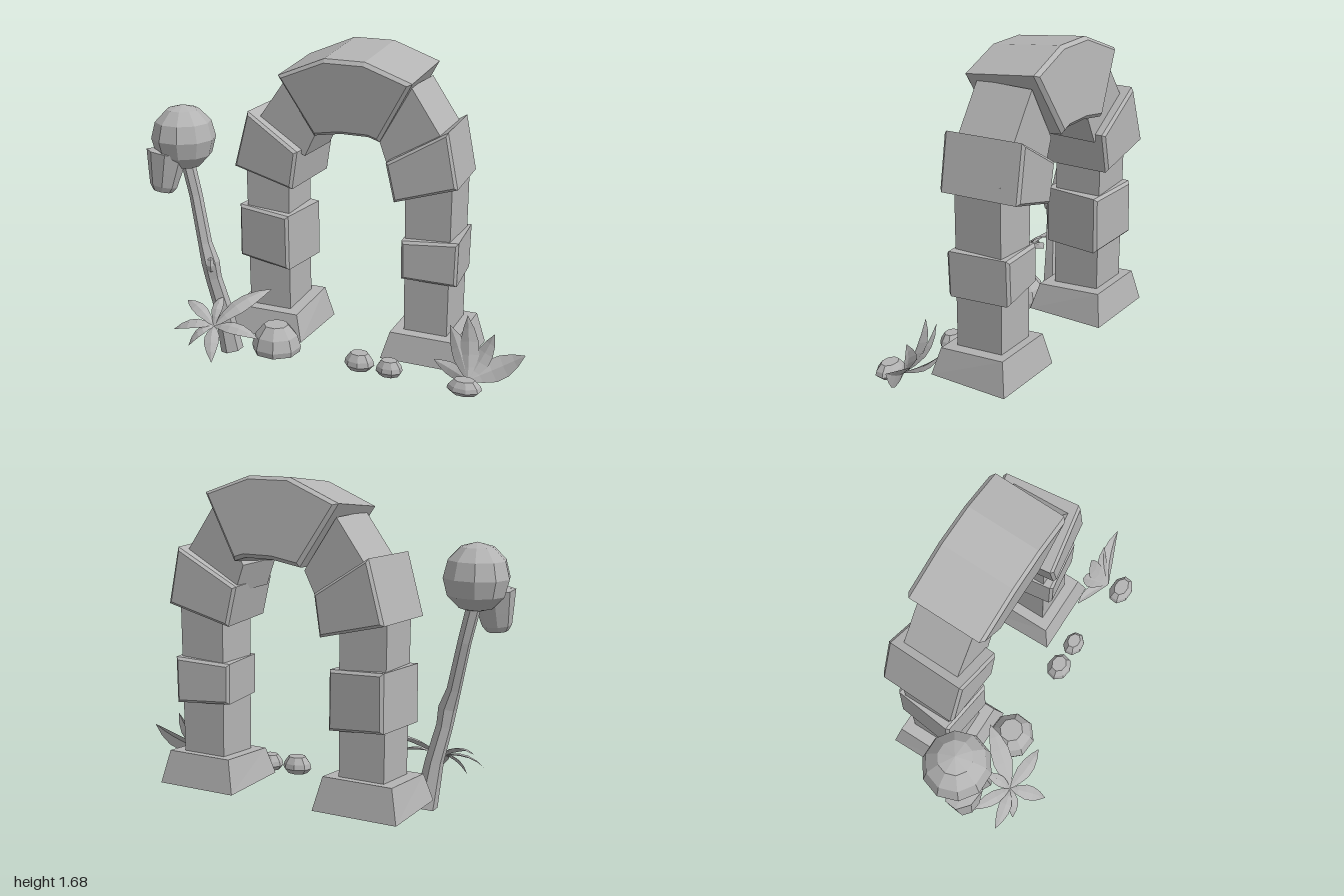
import * as THREE from 'three';

const stone = new THREE.MeshStandardMaterial({ color: 0xb4b4b4, flatShading: true });
stone.name = 'grey';
const leafMat = stone.clone();
leafMat.name = 'grey two sided';
leafMat.side = THREE.DoubleSide;

const V = (a) => new THREE.Vector3(...a);

export function createModel() {
  const root = new THREE.Group();
  const add = (name, geo, mat = stone) => {
    const m = new THREE.Mesh(geo, mat);
    m.name = name;
    root.add(m);
    return m;
  };

  // Chamfered stone: front outline (counter-clockwise), pivoting on its front face
  const block = (name, pts, zFront, depth, rx = 0, ry = 0, bevel = 0.014) => {
    const cx = pts.reduce((s, p) => s + p[0], 0) / pts.length;
    const cy = pts.reduce((s, p) => s + p[1], 0) / pts.length;
    const shape = new THREE.Shape(pts.map(([x, y]) => new THREE.Vector2(x - cx, y - cy)));
    const geo = new THREE.ExtrudeGeometry(shape, {
      depth: depth - 2 * bevel, bevelEnabled: bevel > 0, bevelSegments: 1,
      bevelSize: bevel, bevelThickness: bevel, bevelOffset: -bevel,
    });
    geo.translate(0, 0, bevel - depth);
    const m = add(name, geo);
    m.position.set(cx, cy, zFront);
    m.rotation.set(rx, ry, 0);
  };

  // Arch: columns, collar stones, shoulders, inset wedges and keystone
  block('leftColumn', [[0.315, 0.2], [0.55, 0.2], [0.56, 1.1], [0.31, 1.1]], -0.09, 0.26, 0, 0, 0);
  block('rightColumn', [[-0.585, 0.2], [-0.345, 0.2], [-0.345, 1.1], [-0.595, 1.1]], -0.09, 0.26, 0, 0, 0);
  block('leftCollar', [[0.31, 0.52], [0.6, 0.505], [0.607, 0.74], [0.31, 0.725]], -0.055, 0.33, 0.02, 0.12);
  block('rightCollar', [[-0.64, 0.495], [-0.33, 0.465], [-0.33, 0.765], [-0.635, 0.785]], -0.055, 0.33, 0.02, -0.12);
  block('leftShoulder', [[0.28, 0.935], [0.605, 1.03], [0.55, 1.315], [0.235, 1.135]], -0.015, 0.42, 0, 0.1);
  block('rightShoulder', [[-0.635, 1.01], [-0.295, 0.925], [-0.26, 1.13], [-0.545, 1.315]], -0.015, 0.42, 0.03, -0.04);
  block('leftWedge', [[0.22, 1.1], [0.52, 1.25], [0.34, 1.515], [0.17, 1.24]], -0.07, 0.305, 0, 0, 0);
  block('rightWedge', [[-0.52, 1.25], [-0.24, 1.1], [-0.17, 1.24], [-0.34, 1.5]], -0.07, 0.305, 0, 0, 0);
  block('keystone', [[-0.18, 1.215], [-0.03, 1.24], [0.12, 1.24], [0.18, 1.22],
    [0.365, 1.54], [0.12, 1.63], [-0.1, 1.63], [-0.365, 1.52]], -0.02, 0.415, 0.12, 0, 0.018);

  // Flared footings with a slightly sloping top
  const footing = (name, x0, x1) => {
    const geo = new THREE.BoxGeometry(x1 - x0, 0.15, 0.43);
    const p = geo.attributes.position;
    for (let i = 0; i < p.count; i++) {
      if (p.getY(i) < 0) continue;
      const back = p.getZ(i) < 0;
      p.setXYZ(i, p.getX(i) * 0.82, back ? 0.095 : 0.065, p.getZ(i) * 0.84);
    }
    geo.computeVertexNormals();
    add(name, geo).position.set((x0 + x1) / 2, 0.155, -0.215);
  };
  footing('leftFooting', 0.22, 0.65);
  footing('rightFooting', -0.69, -0.24);

  // Faceted rocks
  const rockProfile = [[0, 0], [0.72, 0], [1, 0.3], [0.92, 0.6], [0.6, 1], [0, 1]];
  const bigProfile = [[0, 0], [0.95, 0], [1, 0.2], [0.86, 0.62], [0.5, 1], [0, 1]];
  const lathe = (name, profile, sides, pos, scale, spin = 0) => {
    const geo = new THREE.LatheGeometry(profile.map((q) => new THREE.Vector2(...q)), sides, spin);
    const m = add(name, geo);
    m.position.set(...pos);
    m.scale.set(...scale);
    return m;
  };
  lathe('largeRock', bigProfile, 8, [-0.33, 0.065, 0.108], [0.132, 0.15, 0.125], 0.3);
  lathe('smallRock1', rockProfile, 8, [0.155, 0.06, 0.12], [0.08, 0.088, 0.066], 0.2);
  lathe('smallRock2', rockProfile, 8, [0.32, 0.055, 0.118], [0.072, 0.082, 0.056], 0.5);
  lathe('smallRock3', rockProfile, 8, [0.745, 0.068, 0.18], [0.09, 0.072, 0.062], 0.3);

  // Tree trunk: hexagonal rings along a bent path, capped at the ends
  const rings = [
    [-0.61, 0.01, 0.09, 0.06], [-0.645, 0.25, 0.11, 0.047], [-0.685, 0.43, 0.135, 0.042],
    [-0.695, 0.52, 0.145, 0.047], [-0.73, 0.62, 0.135, 0.036], [-0.79, 0.87, 0.11, 0.034],
    [-0.84, 1.08, 0.11, 0.036],
  ];
  const trunk = new THREE.CylinderGeometry(1, 1, rings.length - 1, 6, rings.length - 1);
  const tp = trunk.attributes.position;
  for (let i = 0; i < tp.count; i++) {
    const [x, y, z, r] = rings[Math.round(tp.getY(i) + (rings.length - 1) / 2)];
    const dx = tp.getX(i) * r;
    tp.setXYZ(i, x + dx, y + dx * 0.22, z + tp.getZ(i) * r);
  }
  trunk.computeVertexNormals();
  add('trunk', trunk);
  const knot = add('trunkKnot', new THREE.SphereGeometry(1, 6, 4));
  knot.position.set(-0.68, 0.515, 0.165);
  knot.scale.set(0.025, 0.045, 0.032);

  // Crown with a drooping lobe at its front
  const crown = add('crown', new THREE.SphereGeometry(1, 10, 6));
  crown.position.set(-0.832, 1.188, 0.14);
  crown.scale.set(0.168, 0.172, 0.165);
  const lobe = lathe('crownLobe', [[0, 0], [0.6, 0.02], [0.82, 0.16], [1, 0.5], [1.25, 1], [0, 1.1]],
    8, [-0.91, 0.91, 0.24], [0.092, 0.21, 0.066], 0.3);
  lobe.rotation.set(-0.12, 0, -0.1);

  // Leaf: bent blade with a raised midrib, swept from root to tip
  const leaf = (name, root3, tip3, normal, width, lift) => {
    const a = V(root3), c = V(tip3), n = V(normal).normalize();
    const mid = a.clone().lerp(c, 0.5).addScaledVector(n, lift);
    const curve = new THREE.QuadraticBezierCurve3(a, mid, c);
    const side = c.clone().sub(a).cross(n).normalize();
    const widths = [0.15, 0.65, 1, 0.95, 0.6, 0.02];
    const pos = [], idx = [];
    widths.forEach((w, i) => {
      const p = curve.getPoint(i / (widths.length - 1));
      for (const s of [-1, 0, 1]) {
        const q = p.clone().addScaledVector(side, s * w * width / 2);
        if (s) q.addScaledVector(n, -w * width * 0.15);
        pos.push(q.x, q.y, q.z);
      }
      if (!i) return;
      for (const k of [0, 1]) {
        const u = (i - 1) * 3 + k, v = u + 3;
        idx.push(u, u + 1, v, u + 1, v + 1, v);
      }
    });
    const geo = new THREE.BufferGeometry();
    geo.setAttribute('position', new THREE.Float32BufferAttribute(pos, 3));
    geo.setIndex(idx);
    geo.computeVertexNormals();
    add(name, geo, leafMat);
  };

  // Spreading plant by the tree
  [[-0.4, 0.37, 0.02, 0.11], [-0.34, 0.2, 0.29, 0.08], [-0.53, 0.1, 0.45, 0.08],
    [-0.72, 0.12, 0.36, 0.06], [-0.83, 0.18, 0.32, 0.07], [-0.83, 0.29, 0.17, 0.07],
    [-0.63, 0.33, 0.13, 0.06]].forEach(([x, y, z, w], i) =>
    leaf('spreadLeaf' + i, [-0.61, 0.22, 0.275], [x, y, z], [0, 1, 0.4], w, 0.08));

  // Upright fan plant on the other side
  [[0.525, 0.14, 0.02, 0.07], [0.6, 0.335, 0.0, 0.09], [0.69, 0.4, -0.005, 0.1],
    [0.835, 0.325, 0.0, 0.09], [0.995, 0.24, 0.0, 0.12]].forEach(([x, y, z, w], i) =>
    leaf('fanLeaf' + i, [0.735, 0.1, 0.1], [x, y, z], [0, 0.5, 1], w, -0.04));

  return root;
}
